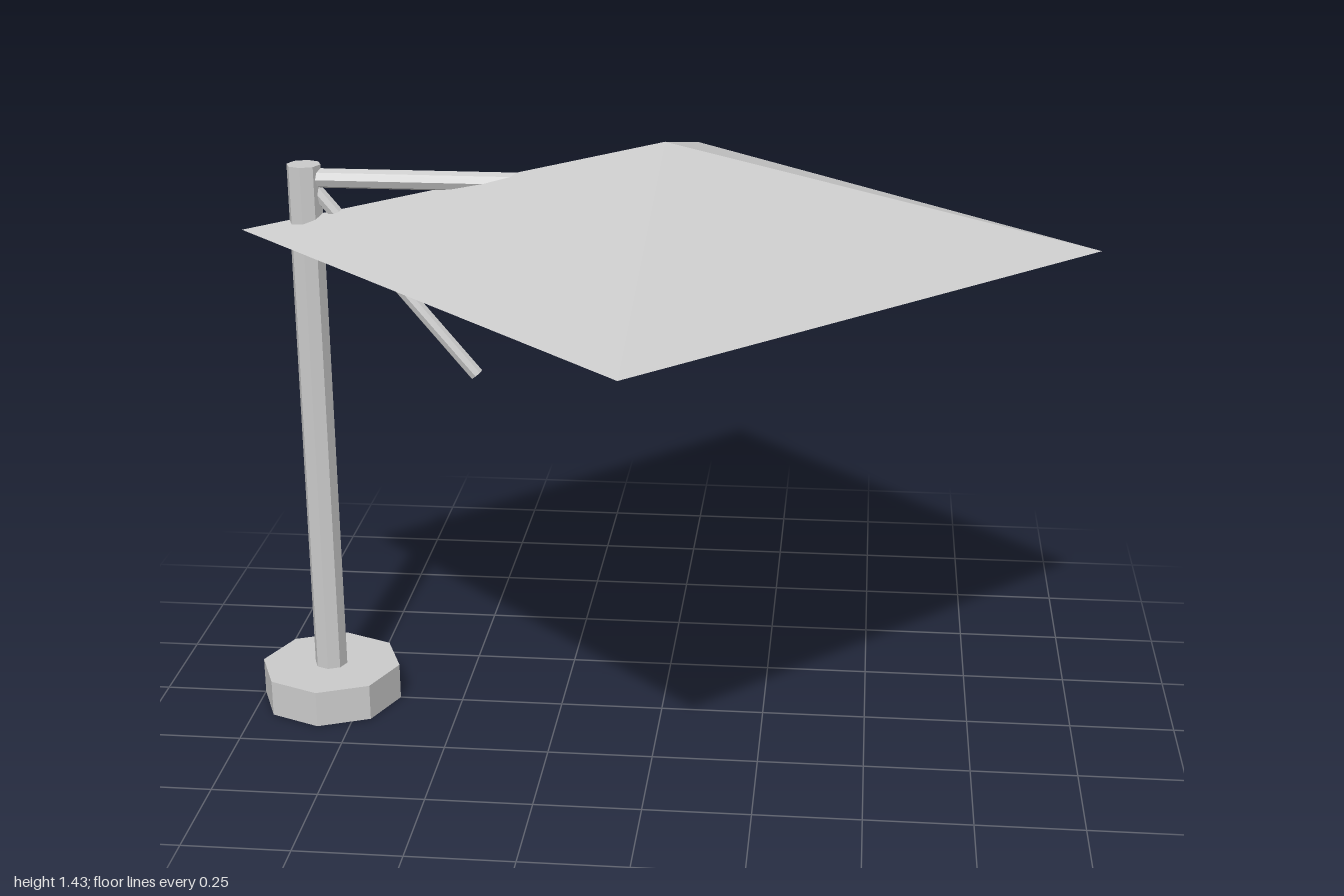
import * as THREE from 'three';

export function createModel() {
  const group = new THREE.Group();
  const grey = new THREE.MeshStandardMaterial({ color: 0xcccccc, flatShading: true });
  grey.name = 'light grey';
  const poleX = -0.828;

  const add = (name, geometry, x, y) => {
    const mesh = new THREE.Mesh(geometry, grey);
    mesh.name = name;
    mesh.position.set(x, y, 0);
    group.add(mesh);
    return mesh;
  };

  // Eight-sided rod between two points in the x-y plane
  const rod = (name, radius, x1, y1, x2, y2) => {
    const a = new THREE.Vector3(x1, y1, 0);
    const b = new THREE.Vector3(x2, y2, 0);
    const mesh = add(name, new THREE.CylinderGeometry(radius, radius, a.distanceTo(b), 8), (x1 + x2) / 2, (y1 + y2) / 2);
    mesh.quaternion.setFromUnitVectors(new THREE.Vector3(0, 1, 0), b.sub(a).normalize());
  };

  // Weighted foot and upright
  add('base', new THREE.CylinderGeometry(0.172, 0.172, 0.09, 8), poleX, 0.045);
  rod('pole', 0.04, poleX, 0.02, poleX, 1.36);

  // Cantilever arm and slanted brace
  rod('arm', 0.023, poleX, 1.328, 0, 1.328);
  rod('brace', 0.017, -0.81, 1.309, -0.439, 0.861);

  // Square canopy with corners on the axes, closed underneath
  add('canopy', new THREE.ConeGeometry(0.99, 0.23, 4), 0.007, 1.315);

  return group;
}
